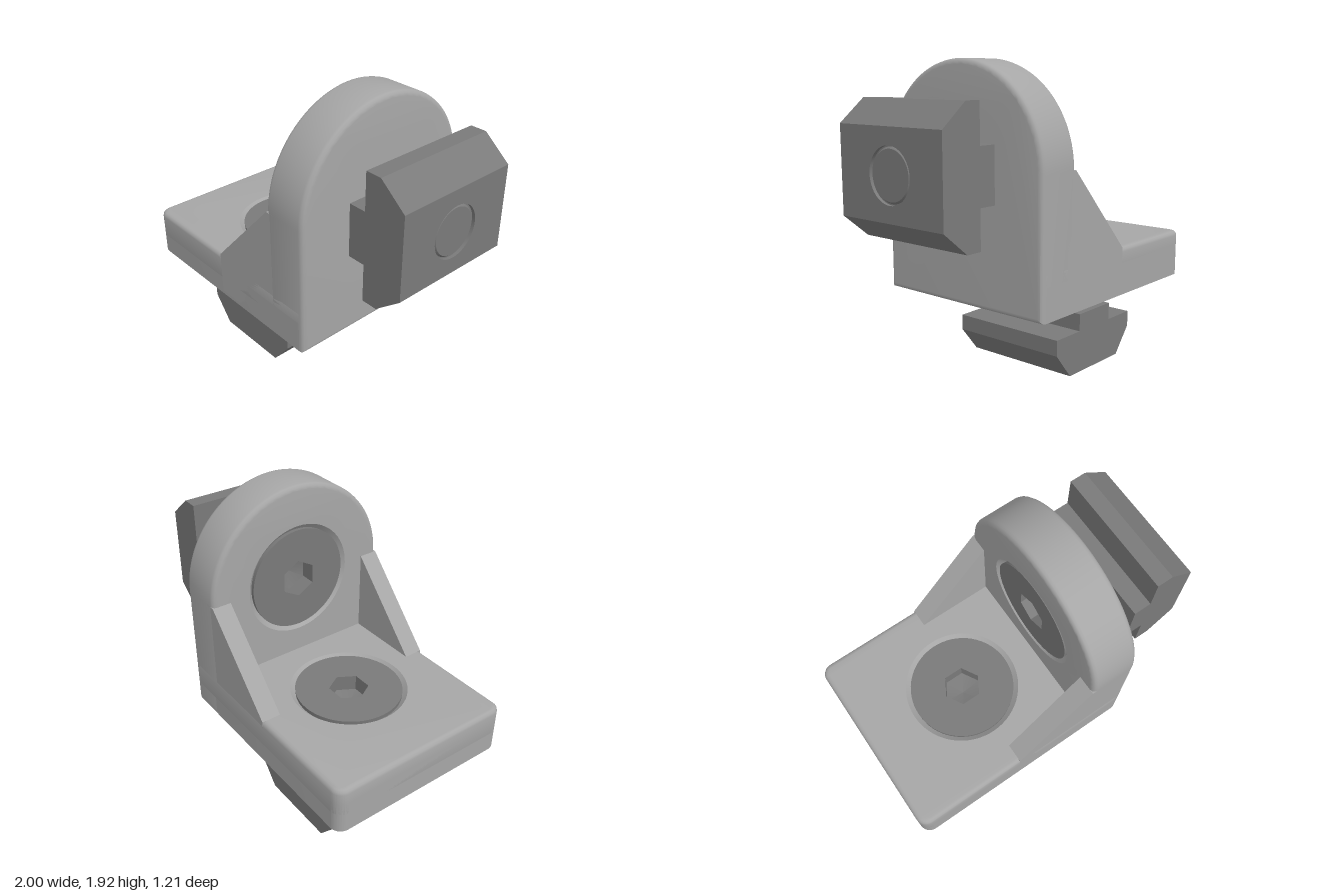
import * as THREE from 'three';
import { toCreasedNormals } from 'three/addons/utils/BufferGeometryUtils.js';

const HALF = 0.605;      // half width of the bracket
const BOLT_X = -0.315;   // axis of the vertical bolt
const BOLT_Y = 1.3175;   // axis of the horizontal bolt
const FILLET = 0.03;
const SINK = 0.355;      // countersink radius at the surface

const bracketGrey = new THREE.MeshStandardMaterial({ color: 0xa6a6a6 });
bracketGrey.name = 'bracketGrey';
const steelGrey = new THREE.MeshStandardMaterial({ color: 0x7a7a7a });
steelGrey.name = 'steelGrey';

function part(name, geometry, material) {
  const mesh = new THREE.Mesh(toCreasedNormals(geometry, 0.6), material);
  mesh.name = name;
  return mesh;
}

function circleHole(x, y, r) {
  return new THREE.Path().absarc(x, y, r, 0, Math.PI * 2, true);
}

function polygon(points) {
  return new THREE.Shape(points.map(([x, y]) => new THREE.Vector2(x, y)));
}

function lathe(points, segments = 64, start = 0) {
  return new THREE.LatheGeometry(points.map(([x, y]) => new THREE.Vector2(x, y)), segments, start);
}

// Plate with filleted outer edges and a straight hole
function filletedPlate(shape, thickness, hx, hy) {
  shape.holes.push(circleHole(hx, hy, SINK));
  const geo = new THREE.ExtrudeGeometry(shape, {
    depth: thickness - 2 * FILLET, bevelEnabled: true, bevelSize: FILLET,
    bevelThickness: FILLET, bevelOffset: -FILLET, bevelSegments: 3, curveSegments: 32,
  });
  geo.translate(0, 0, FILLET);
  // keep the hole edge straight
  const pos = geo.attributes.position;
  for (let i = 0; i < pos.count; i++) {
    const dx = pos.getX(i) - hx, dy = pos.getY(i) - hy, d = Math.hypot(dx, dy);
    if (d < 0.42) pos.setXY(i, hx + dx * SINK / d, hy + dy * SINK / d);
  }
  return geo;
}

// Base outline, rounded at the free end
function baseShape() {
  const r = 0.07, s = new THREE.Shape();
  s.moveTo(0.45, -HALF);
  s.lineTo(0.45, HALF);
  s.lineTo(-1 + r, HALF);
  s.absarc(-1 + r, HALF - r, r, Math.PI / 2, Math.PI, false);
  s.lineTo(-1, -HALF + r);
  s.absarc(-1 + r, -HALF + r, r, Math.PI, Math.PI * 1.5, false);
  return s;
}

function createBracket() {
  const g = new THREE.Group();
  g.name = 'bracket';

  // base: sharp below, filleted on top
  const low = baseShape();
  low.holes.push(circleHole(BOLT_X, 0, SINK));
  const lowGeo = new THREE.ExtrudeGeometry(low, { depth: 0.2, bevelEnabled: false, curveSegments: 32 });
  lowGeo.rotateX(-Math.PI / 2).translate(0, 0.51, 0);
  g.add(part('baseLower', lowGeo, bracketGrey));
  const topGeo = filletedPlate(baseShape(), 0.2, BOLT_X, 0);
  topGeo.rotateX(-Math.PI / 2).translate(0, 0.605, 0);
  g.add(part('baseUpper', topGeo, bracketGrey));

  // upright with a round top
  const up = new THREE.Shape();
  up.moveTo(-HALF, 0.51);
  up.lineTo(HALF, 0.51);
  up.lineTo(HALF, BOLT_Y);
  up.absarc(0, BOLT_Y, HALF, 0, Math.PI, false);
  const upGeo = filletedPlate(up, 0.295, 0, BOLT_Y);
  upGeo.rotateY(Math.PI / 2).translate(0.195, 0, 0);
  g.add(part('upright', upGeo, bracketGrey));

  // side gussets
  const rib = polygon([[-0.29, 0.53], [0.26, 0.53], [0.26, 1.32], [0.195, 1.32], [-0.29, 0.805]]);
  for (const z of [-HALF, HALF - 0.12]) {
    const geo = new THREE.ExtrudeGeometry(rib, { depth: 0.12, bevelEnabled: false });
    geo.translate(0, 0, z);
    g.add(part('gusset', geo, bracketGrey));
  }
  return g;
}

// Countersunk bolt with its slot nut; the axis is y and the nut's foot is at 0
function createFastener(name) {
  const g = new THREE.Group();
  g.name = name;

  // countersunk seat in the bracket
  g.add(part('boltSeat', lathe([[SINK, 0.805], [0.325, 0.775], [0.158, 0.61], [0.158, 0.51], [SINK, 0.51]]), bracketGrey));

  // bolt shank and head
  g.add(part('bolt', lathe([[0, 0.008], [0.14, 0.008], [0.155, 0.025], [0.158, 0.04],
    [0.158, 0.61], [0.323, 0.773], [0.325, 0.8]]), steelGrey));
  const disc = new THREE.Shape().absarc(0, 0, 0.325, 0, Math.PI * 2, false);
  const hex = [];
  for (let i = 0; i < 6; i++) {
    const a = -i * Math.PI / 3;
    hex.push(new THREE.Vector2(0.12 * Math.cos(a), 0.12 * Math.sin(a)));
  }
  disc.holes.push(new THREE.Path(hex));
  const discGeo = new THREE.ShapeGeometry(disc, 32);
  discGeo.rotateX(-Math.PI / 2).translate(0, 0.8, 0);
  g.add(part('boltHead', discGeo, steelGrey));
  g.add(part('hexSocket', lathe([[0.12, 0.8], [0.12, 0.7], [0, 0.66]], 6, Math.PI / 2), steelGrey));

  // slot nut body
  const lip = 0.02, foot = 0.255, wide = foot + 0.135 * lip / 0.165, len = 0.79;
  const half = [[wide, lip], [0.39, 0.165], [0.39, 0.265], [0.16, 0.265], [0.16, 0.375]];
  const profile = polygon([...half, ...half.map(([x, y]) => [-x, y]).reverse()]);
  const bodyGeo = new THREE.ExtrudeGeometry(profile, { depth: len, bevelEnabled: false });
  bodyGeo.translate(0, 0, -len / 2);
  g.add(part('slotNut', bodyGeo, steelGrey));

  // nut foot with the bolt hole, tapered to meet the body
  const l = len / 2;
  const footShape = polygon([[-foot, -l], [foot, -l], [foot, l], [-foot, l]]);
  footShape.holes.push(circleHole(0, 0, 0.158));
  const footGeo = new THREE.ExtrudeGeometry(footShape, { depth: lip, bevelEnabled: false, curveSegments: 24 });
  footGeo.rotateX(Math.PI / 2).translate(0, lip, 0);
  const pos = footGeo.attributes.position;
  for (let i = 0; i < pos.count; i++) {
    const x = pos.getX(i);
    if (pos.getY(i) > lip / 2 && Math.abs(x) > 0.2) pos.setX(i, Math.sign(x) * wide);
  }
  g.add(part('nutFoot', footGeo, steelGrey));
  return g;
}

export function createModel() {
  const model = new THREE.Group();
  model.name = 'angleBracket';
  model.add(createBracket());

  const lower = createFastener('lowerFastener');
  lower.position.set(BOLT_X, 0, 0);
  model.add(lower);

  const side = createFastener('sideFastener');
  side.position.set(1, BOLT_Y, 0);
  side.rotation.z = Math.PI / 2;
  model.add(side);
  return model;
}
